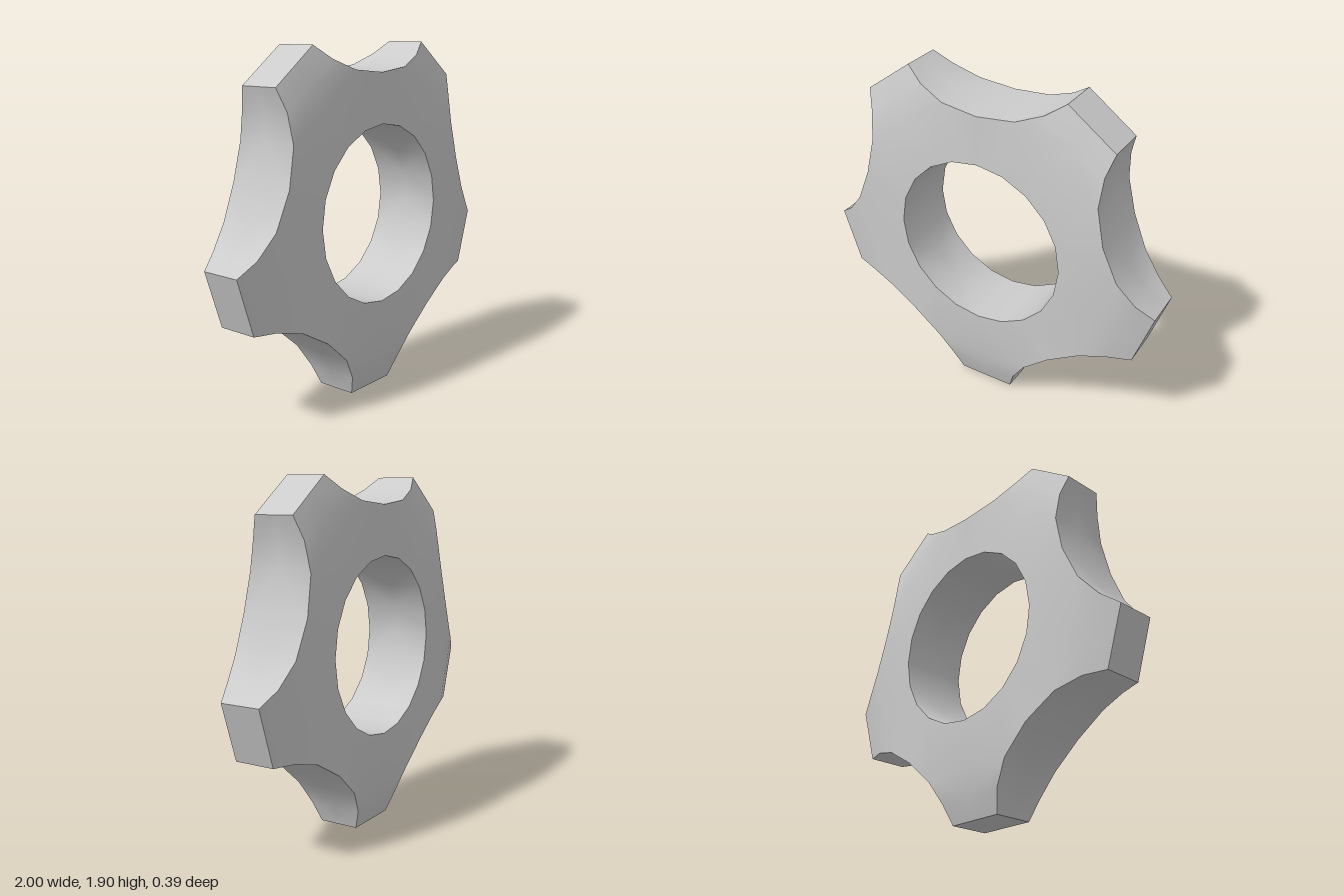
import * as THREE from 'three';
import { toCreasedNormals } from 'three/addons/utils/BufferGeometryUtils.js';

const ARMS = 5;
const polar = (r, deg, z) => {
  const a = THREE.MathUtils.degToRad(deg);
  return [r * Math.sin(a), r * Math.cos(a), z];
};

// Half of one arm (axis along +y, x >= 0), front half of the thickness.
function halfArmTriangles() {
  const tip = [0, 1.0, 0.112], neck = [0, 0.885, 0.152], root = [0, 0.753, 0.181];
  const tipSide = [0.163, 1.0, 0.112], neckSide = [0.204, 0.885, 0.152], rootSide = [0.288, 0.753, 0.181];
  const valley = polar(0.758, 36, 0.191);
  const hole = [0, 18, 36].map((d) => polar(0.488, d, 0.194));
  const tris = [];
  const tri = (a, b, c) => tris.push([a, b, c]);
  const quad = (a, b, c, d) => { tri(a, b, c); tri(a, c, d); };
  const mid = (p) => [p[0], p[1], 0];
  const wall = (p, q) => quad(mid(p), p, q, mid(q));

  // tapered face of the arm
  quad(tip, neck, neckSide, tipSide);
  quad(neck, root, rootSide, neckSide);
  // face of the ring around the hole
  tri(root, hole[0], rootSide);
  tri(hole[0], hole[1], rootSide);
  tri(hole[1], hole[2], rootSide);
  tri(hole[2], valley, rootSide);
  // flat tip and scooped outer wall
  const rim = [tip, tipSide, neckSide, rootSide, valley];
  for (let i = 0; i < rim.length - 1; i++) wall(rim[i], rim[i + 1]);
  // wall of the hole
  for (let i = 0; i < 2; i++) wall(hole[i + 1], hole[i]);
  return tris;
}

export function createModel() {
  const tris = halfArmTriangles();
  const positions = [];

  // mirror the half arm side to side and front to back, then repeat around the hole
  for (let k = 0; k < ARMS; k++) {
    const angle = Math.PI + (k * 2 * Math.PI) / ARMS;
    const c = Math.cos(angle), s = Math.sin(angle);
    for (const sx of [1, -1]) {
      for (const sz of [1, -1]) {
        for (const t of tris) {
          const corners = sx * sz > 0 ? t : [t[0], t[2], t[1]];
          for (const [x, y, z] of corners) {
            positions.push(sx * x * c - y * s, sx * x * s + y * c + 1, sz * z);
          }
        }
      }
    }
  }

  const geometry = new THREE.BufferGeometry();
  geometry.setAttribute('position', new THREE.Float32BufferAttribute(positions, 3));

  const knob = new THREE.Mesh(
    toCreasedNormals(geometry, THREE.MathUtils.degToRad(40)),
    new THREE.MeshStandardMaterial({ color: 0xcccccc })
  );
  knob.name = 'fiveArmedRing';

  const group = new THREE.Group();
  group.name = 'starHandwheel';
  group.add(knob);
  return group;
}
